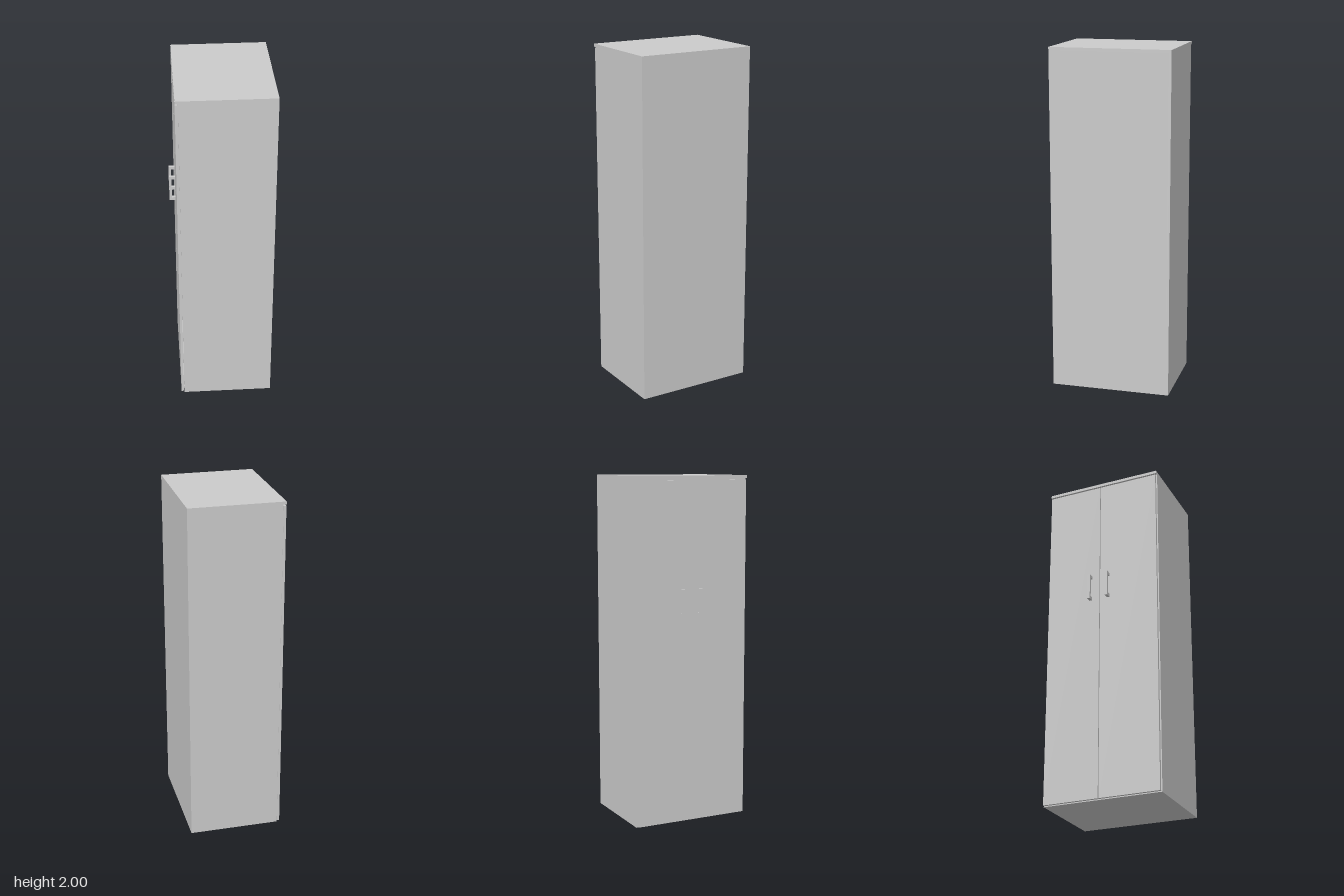
import * as THREE from 'three';

const H = 2, HALF = 0.35;          // height, half width along z
const FRONT = -0.255, BACK = 0.29; // door face and rear face (doors look towards -x)
const T = 0.017;                   // panel thickness
const SPLIT = -0.015;              // line where the two doors meet

export function createModel() {
  const cabinet = new THREE.Group();
  cabinet.name = 'cabinet';
  const material = new THREE.MeshStandardMaterial({ color: 0xcccccc });

  // Box given by its extents on each axis
  function panel(name, [x0, x1], [y0, y1], [z0, z1], parent = cabinet) {
    const geometry = new THREE.BoxGeometry(x1 - x0, y1 - y0, z1 - z0);
    const mesh = new THREE.Mesh(geometry, material);
    mesh.position.set((x0 + x1) / 2, (y0 + y1) / 2, (z0 + z1) / 2);
    mesh.name = name;
    parent.add(mesh);
  }

  // Carcass: the top overhangs the doors
  const bodyFront = FRONT + T;
  const top = H - T;
  panel('topPanel', [FRONT, BACK], [top, H], [-HALF, HALF]);
  panel('bottomPanel', [bodyFront, BACK], [0, T], [-HALF + T, HALF - T]);
  panel('backPanel', [BACK - T, BACK], [T, top], [-HALF + T, HALF - T]);
  panel('sidePanel', [bodyFront, BACK], [0, top], [-HALF, -HALF + T]);
  panel('sidePanel', [bodyFront, BACK], [0, top], [HALF - T, HALF]);

  // C-shaped pull, extruded across its width
  const pull = new THREE.Shape([
    [0, 0], [-0.035, 0], [-0.035, 0.155], [0, 0.155],
    [0, 0.138], [-0.021, 0.138], [-0.021, 0.018], [0, 0.018],
  ].map(([x, y]) => new THREE.Vector2(x, y)).reverse());
  const pullGeometry = new THREE.ExtrudeGeometry(pull, { depth: T, bevelEnabled: false });

  // Pair of doors, each with a handle beside the split
  const doors = [
    { z: [-HALF + 0.004, SPLIT - 0.002], handleZ: -0.08 },
    { z: [SPLIT + 0.002, HALF - 0.006], handleZ: 0.031 },
  ];
  for (const { z, handleZ } of doors) {
    const door = new THREE.Group();
    door.name = 'door';
    panel('doorPanel', [FRONT, bodyFront - 0.002], [0.005, 1.974], z, door);
    const handle = new THREE.Mesh(pullGeometry, material);
    handle.name = 'handle';
    handle.position.set(FRONT, 1.21, handleZ);
    door.add(handle);
    cabinet.add(door);
  }
  return cabinet;
}
